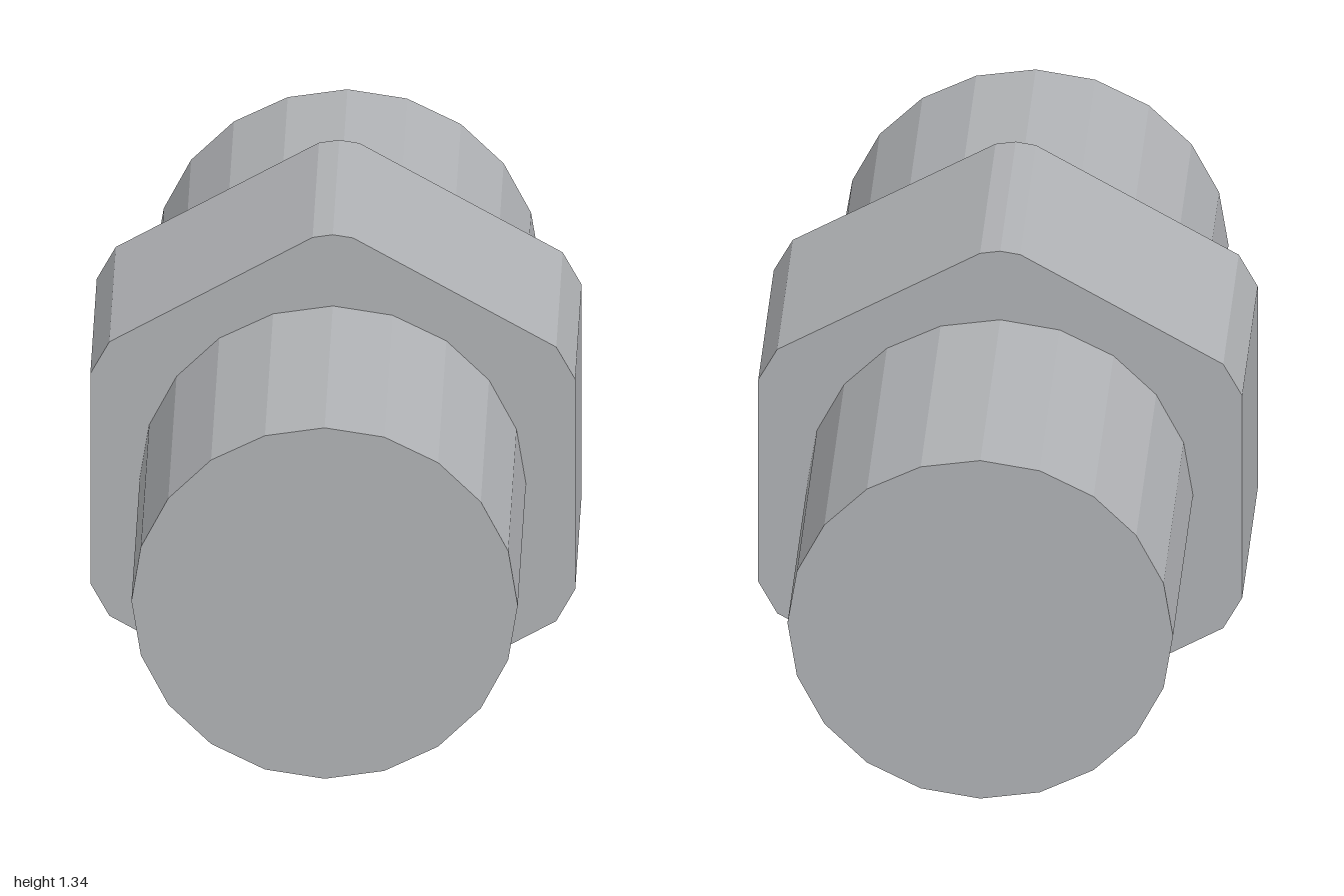
import * as THREE from 'three';

export function createModel() {
  const model = new THREE.Group();
  model.name = 'hexPipeNipple';
  const steel = new THREE.MeshStandardMaterial({ color: 0xb0b2b5, flatShading: true });
  steel.name = 'steel grey';

  const centreY = 0.672;
  const halfNut = 0.28;

  // Pipe ends: one 20-sided stud on each side of the nut
  const studLength = 1 - halfNut;
  for (const side of [1, -1]) {
    const geometry = new THREE.CylinderGeometry(0.478, 0.478, studLength, 20);
    geometry.rotateX(Math.PI / 2);
    const stud = new THREE.Mesh(geometry, steel);
    stud.name = side > 0 ? 'frontPipe' : 'backPipe';
    stud.position.set(0, centreY, side * (halfNut + studLength / 2));
    model.add(stud);
  }

  // Hexagonal nut with clipped corners, one quarter outline mirrored to four
  const quarter = [[0.6, 0.285], [0.553, 0.372], [0.05, 0.662]];
  const mirrored = [...quarter].reverse();
  const outline = [
    ...quarter, [0, 0.67],
    ...mirrored.map(([x, y]) => [-x, y]),
    ...quarter.map(([x, y]) => [-x, -y]), [0, -0.67],
    ...mirrored.map(([x, y]) => [x, -y]),
  ].map(([x, y]) => new THREE.Vector2(x, y * centreY / 0.67));
  const nutGeometry = new THREE.ExtrudeGeometry(new THREE.Shape(outline), {
    depth: 2 * halfNut,
    bevelEnabled: false,
  });
  nutGeometry.translate(0, 0, -halfNut);
  const nut = new THREE.Mesh(nutGeometry, steel);
  nut.name = 'hexNut';
  nut.position.y = centreY;
  model.add(nut);

  return model;
}
